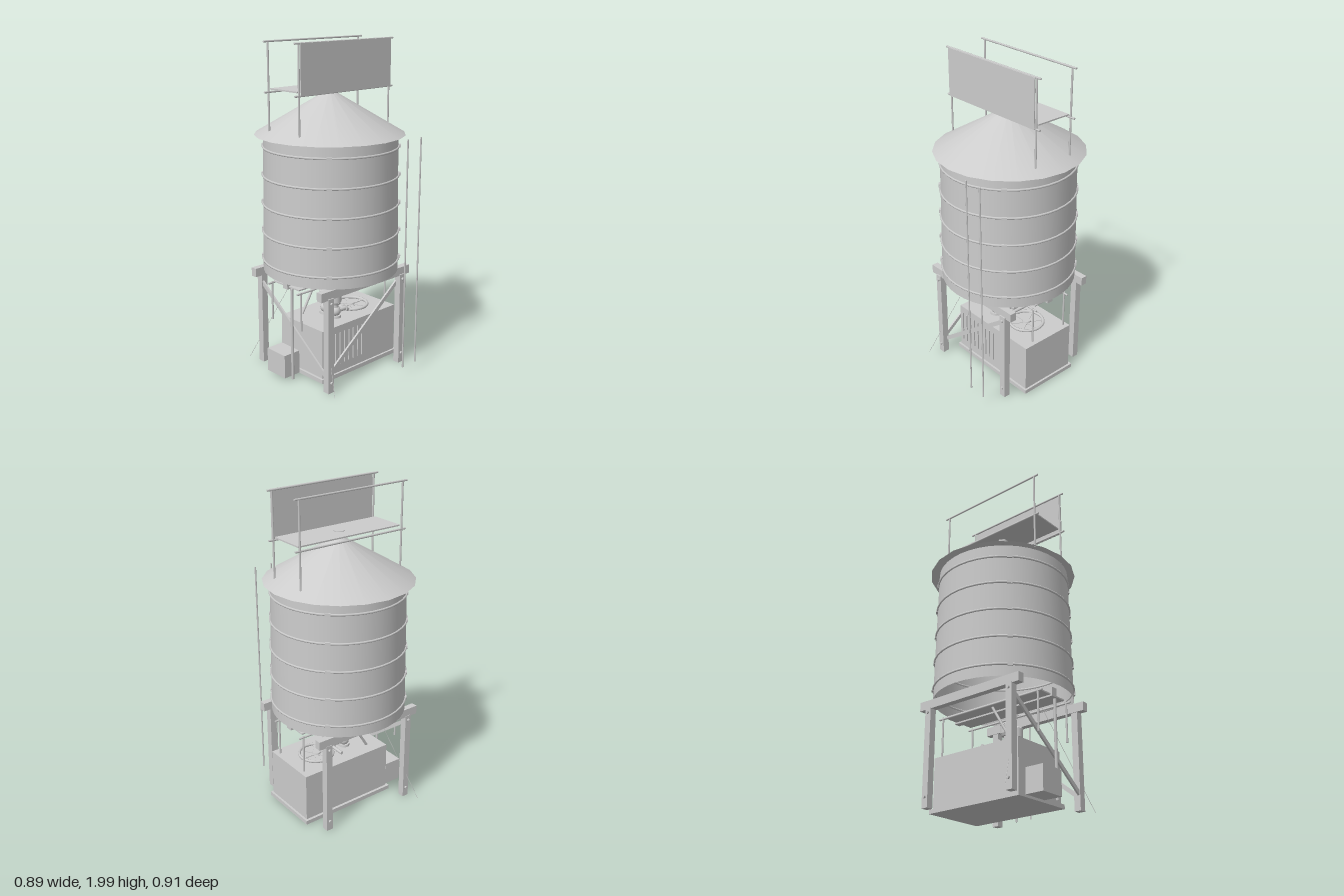
import * as THREE from 'three';

export function createModel() {
  const root = new THREE.Group();
  const grey = new THREE.MeshStandardMaterial({ color: 0xcccccc, side: THREE.DoubleSide });
  grey.name = 'plain grey';

  const add = (name, geo, x = 0, y = 0, z = 0, parent = root) => {
    const m = new THREE.Mesh(geo, grey);
    m.name = name;
    m.position.set(x, y, z);
    parent.add(m);
    return m;
  };
  // box given by its limits on each axis
  const box = (name, x0, x1, y0, y1, z0, z1) =>
    add(name, new THREE.BoxGeometry(x1 - x0, y1 - y0, z1 - z0), (x0 + x1) / 2, (y0 + y1) / 2, (z0 + z1) / 2);
  // round bar between two points
  const bar = (name, a, b, r, sides = 6) => {
    const p = new THREE.Vector3(...a), q = new THREE.Vector3(...b);
    const m = add(name, new THREE.CylinderGeometry(r, r, p.distanceTo(q), sides));
    m.position.copy(p).lerp(q, 0.5);
    m.quaternion.setFromUnitVectors(new THREE.Vector3(0, 1, 0), q.sub(p).normalize());
    return m;
  };
  // square timber between two points
  const timber = (name, a, b, w, d) => {
    const p = new THREE.Vector3(...a), q = new THREE.Vector3(...b);
    const m = add(name, new THREE.BoxGeometry(w, d, p.distanceTo(q)));
    m.position.copy(p).lerp(q, 0.5);
    m.lookAt(q);
    return m;
  };

  // Tank shell, open below, slightly narrower at the top
  const radiusAt = y => 0.409 - (y - 0.635) * 0.016;
  add('tankShell', new THREE.CylinderGeometry(radiusAt(1.46), radiusAt(0.635), 0.825, 40, 1, true), 0, 1.0475, -0.003);

  // Hoops, with a small tightening lug on four sides
  for (const y of [1.385, 1.215, 1.045, 0.875, 0.705]) {
    const r = radiusAt(y);
    const hoop = add('hoop', new THREE.TorusGeometry(r + 0.002, 0.007, 6, 40), 0, y, -0.003);
    hoop.rotation.x = Math.PI / 2;
    for (let i = 0; i < 4; i++) {
      const a = Math.PI / 4 + i * Math.PI / 2;
      const lug = add('hoopLug', new THREE.BoxGeometry(0.03, 0.02, 0.012), Math.sin(a) * (r + 0.006), y, Math.cos(a) * (r + 0.006));
      lug.rotation.y = a;
    }
  }

  // Conical roof and its hexagonal cap
  add('roof', new THREE.CylinderGeometry(0.001, 0.445, 0.262, 20, 1, true), 0, 1.587, -0.01);
  add('roofCap', new THREE.CylinderGeometry(0.034, 0.034, 0.03, 6), 0, 1.727, -0.01);

  // Rooftop walkway, railings and sign board
  box('walkway', -0.355, 0.355, 1.73, 1.738, -0.12, 0.105);
  for (const z of [-0.135, 0.122]) {
    for (const y of [1.715, 1.995]) bar('railing', [-0.385, y, z], [0.385, y, z], 0.006);
    for (const x of [-0.355, 0.355]) bar('railingPost', [x, 1.49, z], [x, 1.995, z], 0.006);
  }
  box('signBoard', -0.355, 0.355, 1.715, 1.998, 0.133, 0.138);

  // Lower walkway under the tank
  box('lowerWalkway', -0.355, 0.355, 0.592, 0.6, -0.12, 0.105);
  for (const z of [-0.135, 0.122]) {
    bar('lowerRail', [-0.385, 0.582, z], [0.385, 0.582, z], 0.006);
    for (const x of [-0.355, 0.355]) bar('lowerPost', [x, 0.35, z], [x, 0.59, z], 0.006);
  }

  // Legs and the beams carrying the tank
  for (const sx of [-1, 1]) for (const sz of [-1, 1]) {
    box('leg', sx * 0.3 - 0.021, sx * 0.3 + 0.021, 0.008, 0.59, sz * 0.296 - 0.021, sz * 0.296 + 0.021);
    for (const y of [0.07, 0.56]) {
      const bolt = add('legBolt', new THREE.CylinderGeometry(0.009, 0.009, 0.012, 8), sx * 0.3, y, sz * 0.322);
      bolt.rotation.x = Math.PI / 2;
    }
  }
  for (const z of [-0.294, -0.003, 0.29]) box('beam', -0.368, 0.368, 0.582, 0.635, z - 0.02, z + 0.02);

  // Diagonal braces
  timber('frontBrace', [-0.3, 0.09, 0.28], [0.29, 0.54, 0.28], 0.012, 0.024);
  timber('sideBrace', [-0.31, 0.09, 0.3], [-0.31, 0.55, -0.3], 0.012, 0.024);
  bar('slantedPipe', [-0.15, 0.335, -0.1], [0.0, 0.58, -0.1], 0.008);
  bar('riserPipe', [-0.345, 0.01, 0.03], [-0.345, 0.585, 0.03], 0.009);

  // Guy wires
  for (const s of [-1, 1]) bar('guyWire', [-0.34, 0.012, s * 0.39], [-0.19, 0.6, s * 0.11], 0.0015, 4);

  // Ladder rails
  for (const x of [0.168, 0.28]) bar('ladderRail', [x, 0.062, 0.45], [x, 1.457, 0.45], 0.005);

  // Machine housing on a base plate, with upright cooling fins on the front
  box('housingBase', -0.265, 0.385, 0.01, 0.035, -0.195, 0.203);
  box('housing', -0.25, 0.372, 0.035, 0.335, -0.178, 0.19);
  for (let i = 0; i < 9; i++) {
    const x = -0.22 + i * 0.037;
    box('coolingFin', x - 0.0015, x + 0.0015, 0.09, 0.29, 0.19, 0.198);
  }

  // Fan ring and hub on the housing
  const ring = add('fanRing', new THREE.TorusGeometry(0.105, 0.009, 8, 28), 0.17, 0.345, 0);
  ring.rotation.x = Math.PI / 2;
  add('fanHub', new THREE.CylinderGeometry(0.025, 0.03, 0.02, 14), 0.17, 0.343, 0);
  for (let i = 0; i < 3; i++) {
    const blade = add('fanBlade', new THREE.BoxGeometry(0.2, 0.004, 0.022), 0.17, 0.342, 0);
    blade.rotation.y = i * Math.PI / 3;
  }

  // Pair of upright pumps with motors, joined by a pipe
  for (const z of [0.075, -0.015]) {
    const pump = new THREE.Group();
    pump.name = 'pump';
    pump.position.set(-0.035, 0.335, z);
    root.add(pump);
    add('pumpFoot', new THREE.CylinderGeometry(0.034, 0.036, 0.014, 14), 0, 0.007, 0, pump);
    add('pumpBody', new THREE.SphereGeometry(0.032, 14, 10), 0, 0.038, 0, pump);
    add('pumpNeck', new THREE.CylinderGeometry(0.018, 0.018, 0.04, 12), 0, 0.075, 0, pump);
    add('motorFlange', new THREE.CylinderGeometry(0.036, 0.03, 0.014, 14), 0, 0.092, 0, pump);
    add('motor', new THREE.CylinderGeometry(0.036, 0.036, 0.05, 14), 0, 0.125, 0, pump);
    add('motorCap', new THREE.CylinderGeometry(0.028, 0.038, 0.012, 14), 0, 0.156, 0, pump);
    bar('pumpOutlet', [-0.035, 0.37, z], [0.05, 0.37, z], 0.013, 10);
    bar('outletFlange', [0.045, 0.37, z], [0.055, 0.37, z], 0.022, 12);
  }
  bar('pumpPipe', [0.06, 0.36, 0.09], [0.06, 0.36, -0.12], 0.01, 10);

  // Control box beside the housing
  box('controlBox', -0.39, -0.275, 0.02, 0.165, -0.15, 0.01);
  bar('controlConduit', [-0.28, 0.07, -0.1], [-0.25, 0.07, -0.1], 0.012, 10);

  return root;
}
